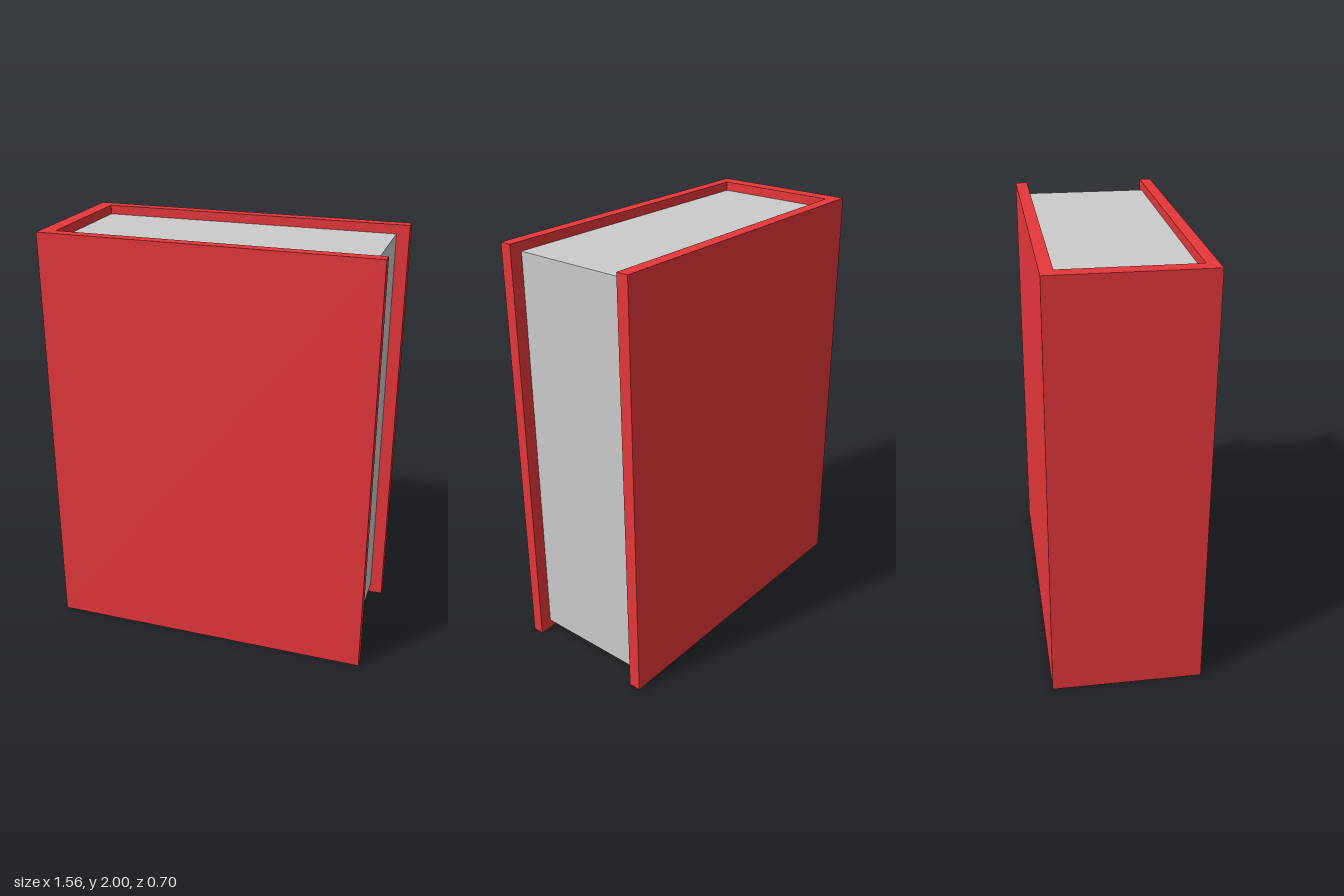
import * as THREE from 'three';

export function createModel() {
  const group = new THREE.Group();
  group.name = 'book';
  const coverMaterial = new THREE.MeshStandardMaterial({ color: 0xe6373a });
  const pageMaterial = new THREE.MeshStandardMaterial({ color: 0xcccccc });

  // Box given by its extents along each axis
  const addBox = (name, material, [x0, x1], [y0, y1], [z0, z1]) => {
    const mesh = new THREE.Mesh(new THREE.BoxGeometry(x1 - x0, y1 - y0, z1 - z0), material);
    mesh.position.set((x0 + x1) / 2, (y0 + y1) / 2, (z0 + z1) / 2);
    mesh.name = name;
    group.add(mesh);
  };

  const width = 0.78, height = 2, depth = 0.352;
  const spineInner = -0.71, frontInner = 0.298, backInner = -0.295;

  // Cover boards and the spine between them
  addBox('frontCover', coverMaterial, [-width, width], [0, height], [frontInner, depth]);
  addBox('backCover', coverMaterial, [-width, width], [0, height], [-depth, backInner]);
  addBox('spine', coverMaterial, [-width, spineInner], [0, height], [backInner, frontInner]);

  // Page block, set in from the three open edges
  addBox('pages', pageMaterial, [spineInner, 0.72], [0.045, 1.957], [backInner, frontInner]);

  return group;
}
